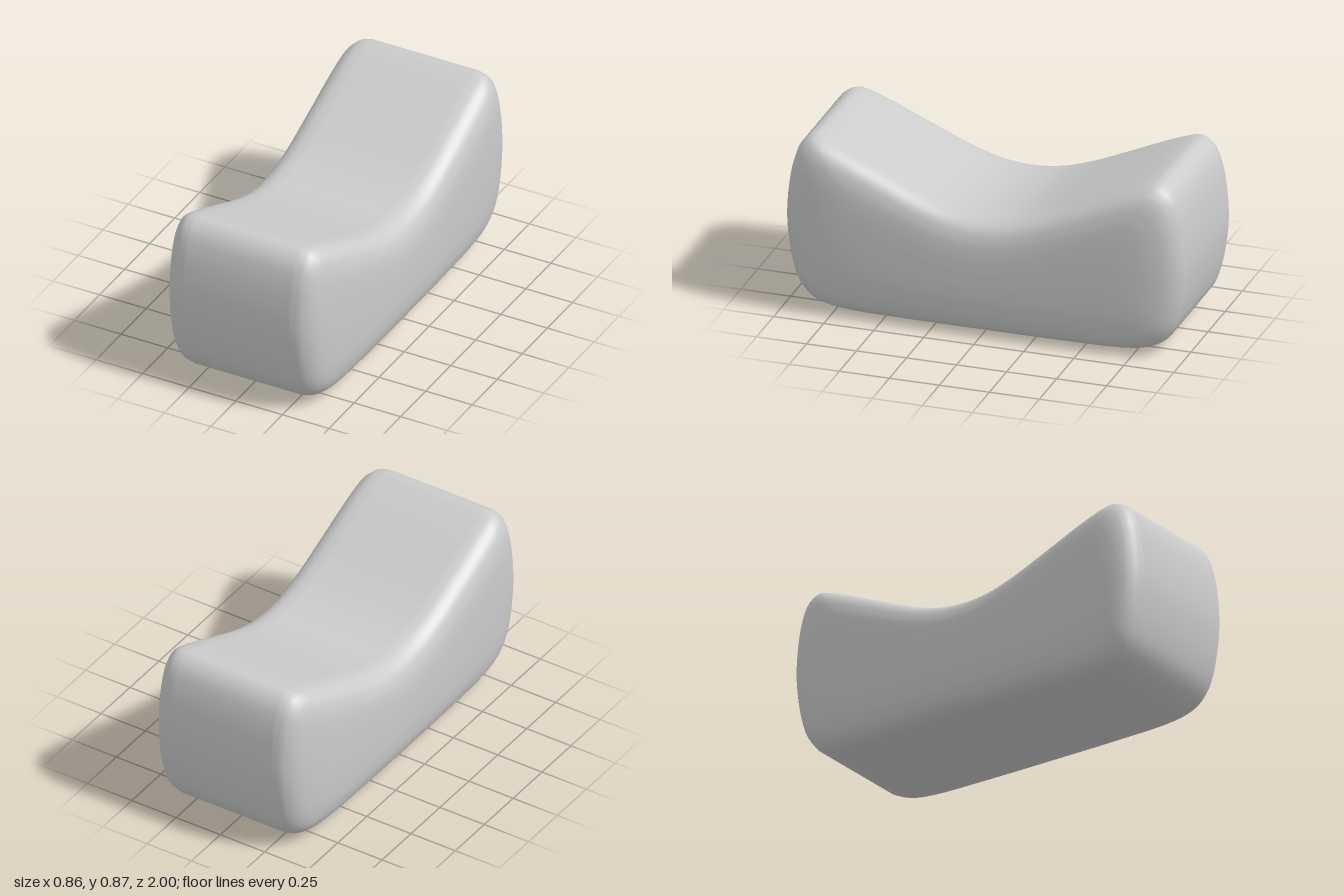
import * as THREE from 'three';

// Front half of the side outline as [z, y], from the middle of the base to the middle of the seat
const HALF = [
  [0, 0], [0.4, 0], [0.68, 0.004], [0.8, 0.02], [0.88, 0.055], [0.94, 0.13], [0.97, 0.22],
  [0.99, 0.33], [1, 0.46], [0.99, 0.62], [0.965, 0.75], [0.93, 0.83], [0.87, 0.873],
  [0.8, 0.858], [0.7, 0.82], [0.5, 0.732], [0.3, 0.647], [0.15, 0.602], [0, 0.587],
];

// Rounding towards each side as [x, section scale]
const EDGE = [
  [0.28, 1], [0.33, 0.978], [0.365, 0.925], [0.385, 0.87], [0.4, 0.8],
  [0.412, 0.7], [0.42, 0.6], [0.427, 0.4], [0.43, 0.15], [0.43, 0],
];

const smooth = (pts, closed) =>
  new THREE.CatmullRomCurve3(pts.map(([a, b]) => new THREE.Vector3(a, b, 0)), closed, 'centripetal');

function saddleBody() {
  const n = 160;
  const back = HALF.slice(1, -1).reverse().map(([z, y]) => [-z, y]);
  const outline = smooth([...HALF, ...back], true).getSpacedPoints(n).slice(0, n);

  // Sections from the left side to the right side
  const edge = smooth(EDGE, false).getPoints(36);
  const sections = [
    ...edge.map((p) => [-p.x, p.y]).reverse(),
    ...edge.map((p) => [p.x, p.y]),
  ];

  // Each section shrinks towards the centre line of the body
  const pos = [], index = [];
  for (const [x, s] of sections) {
    for (const { x: z, y } of outline) {
      const mid = 0.295 + 0.14 * z * z;
      pos.push(x, mid + (y - mid) * s, z * (1 - 0.43 * (1 - s)));
    }
  }
  for (let i = 0; i < sections.length - 1; i++) {
    for (let j = 0; j < n; j++) {
      const a = i * n + j, b = i * n + ((j + 1) % n);
      index.push(a, a + n, b, b, a + n, b + n);
    }
  }
  const g = new THREE.BufferGeometry();
  g.setAttribute('position', new THREE.Float32BufferAttribute(pos, 3));
  g.setIndex(index);
  g.computeVertexNormals();
  return g;
}

export function createModel() {
  const group = new THREE.Group();
  group.name = 'saddleBench';
  const body = new THREE.Mesh(saddleBody(), new THREE.MeshStandardMaterial({ color: 0xcccccc }));
  body.name = 'benchBody';
  group.add(body);
  return group;
}
